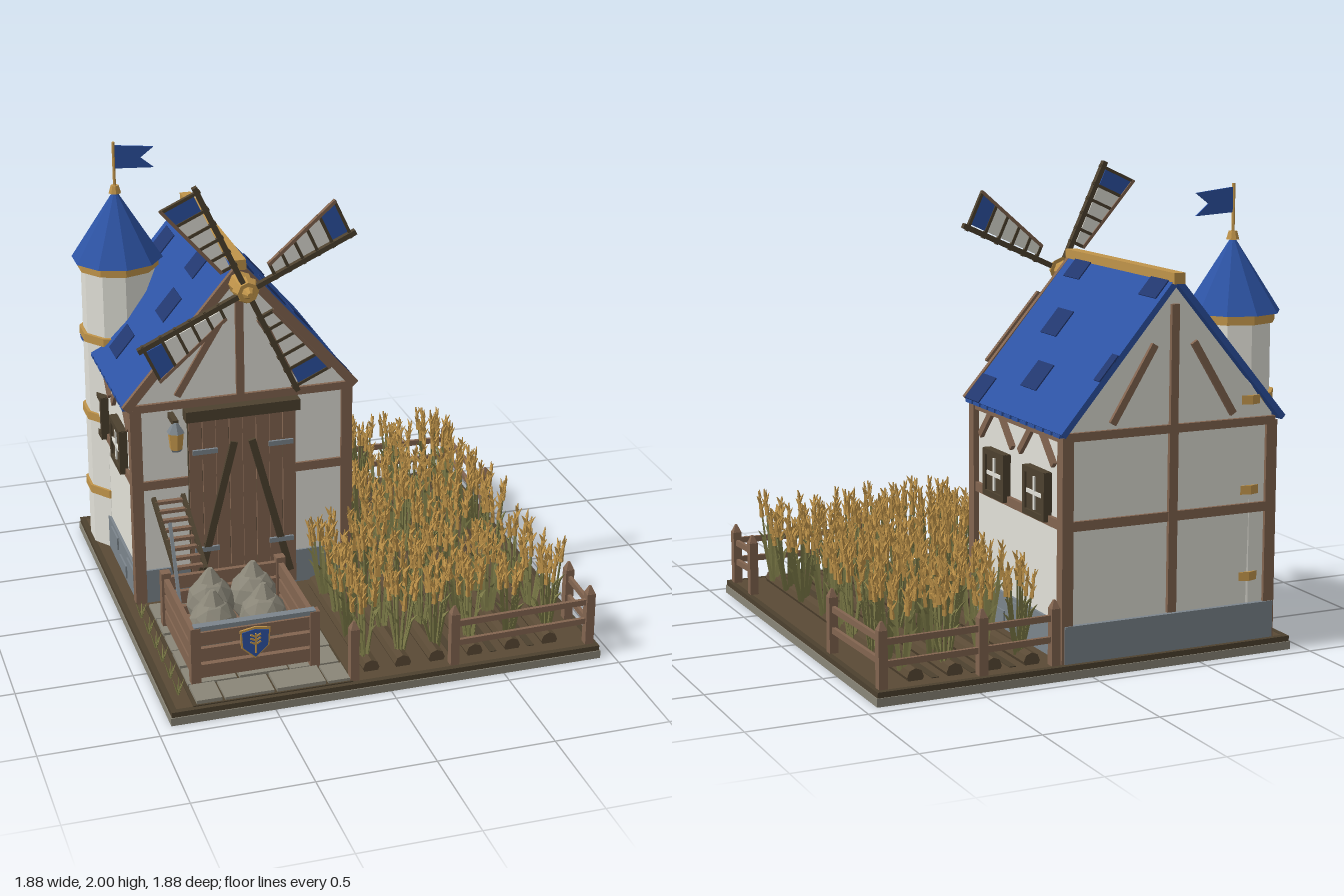
import * as THREE from 'three';
import { mergeGeometries } from 'three/addons/utils/BufferGeometryUtils.js';

const mat = (name, color) => Object.assign(new THREE.MeshStandardMaterial({ color }), { name });
const plaster = mat('plaster', 0xe2e1d8), timber = mat('timber', 0x836550), dark = mat('dark wood', 0x4d412f),
  soil = mat('soil', 0x5a4a35), blue = mat('roof blue', 0x2d53a4), navy = mat('deep blue', 0x22376f),
  gold = mat('gold', 0xc0944a), iron = mat('iron grey', 0x7c858c), stone = mat('stone', 0x8a8678),
  olive = mat('olive', 0x7c7a47);

const V = (p) => new THREE.Vector3(...p);
const flat = (g) => { const n = g.index ? g.toNonIndexed() : g; n.computeVertexNormals(); return n; };
let seed = 7;
const rnd = (a = 0, b = 1) => { seed = (seed * 16807) % 2147483647; return a + (b - a) * seed / 2147483647; };

function add(parent, name, geo, m, x = 0, y = 0, z = 0) {
  const mesh = new THREE.Mesh(geo, m);
  mesh.name = name;
  mesh.position.set(x, y, z);
  parent.add(mesh);
  return mesh;
}
const box = (parent, name, m, w, h, d, x, y, z) => add(parent, name, new THREE.BoxGeometry(w, h, d), m, x, y, z);
// Box running from a to b; w is its horizontal width, h its other thickness
function beam(parent, name, m, a, b, w, h) {
  const A = V(a), B = V(b), mesh = new THREE.Mesh(new THREE.BoxGeometry(w, h, A.distanceTo(B)), m);
  mesh.name = name;
  mesh.position.copy(A).lerp(B, 0.5);
  mesh.lookAt(B);
  parent.add(mesh);
  return mesh;
}
const drum = (parent, name, m, r1, r2, h, n, x, y, z) => add(parent, name, flat(new THREE.CylinderGeometry(r1, r2, h, n)), m, x, y, z);
const plate = (pts, depth) => new THREE.ExtrudeGeometry(new THREE.Shape(pts.map((p) => new THREE.Vector2(...p))), { depth, bevelEnabled: false });
function group(parent, name) { const g = new THREE.Group(); g.name = name; parent.add(g); return g; }

function buildGround(root) {
  const g = group(root, 'ground');
  box(g, 'baseSlab', stone, 1.88, 0.035, 1.88, 0, 0.0175, 0);
  box(g, 'baseSoil', soil, 1.85, 0.025, 1.85, 0, 0.045, 0);
  for (const s of [-1, 1]) {
    box(g, 'baseEdge', dark, 1.87, 0.024, 0.025, 0, 0.046, s * 0.923);
    box(g, 'baseEdge', dark, 0.025, 0.024, 1.87, s * 0.923, 0.046, 0);
  }
  // Paving with staggered joints
  box(g, 'pavingBed', dark, 0.68, 0.01, 0.88, -0.5, 0.058, 0.475);
  for (let r = 0; r < 6; r++) {
    let x = -0.83;
    for (let i = 0; x < -0.18; i++) {
      const w = Math.min(i === 0 && r % 2 ? 0.12 : 0.22, -0.165 - x);
      box(g, 'pavingStone', stone, w - 0.012, 0.02, 0.134, x + w / 2, 0.065 + (i + r) % 2 * 0.004, 0.11 + r * 0.146);
      x += w;
    }
  }
  // Ploughed ridges
  for (const [x, z0, z1] of [[-0.06, 0.05, 0.85], [0.08, 0.05, 0.85], [0.23, -0.85, 0.85], [0.4, -0.85, 0.85], [0.57, -0.85, 0.85], [0.74, -0.85, 0.85]])
    drum(g, 'furrowRidge', soil, 0.036, 0.036, z1 - z0, 8, x, 0.072, (z0 + z1) / 2).rotation.x = Math.PI / 2;
  for (const x of [0.315, 0.485, 0.655]) box(g, 'furrow', dark, 0.03, 0.006, 1.7, x, 0.058, 0);
}

function buildHouse(root) {
  const g = group(root, 'house'), mid = -0.38;
  add(g, 'walls', plate([[-0.85, 0.06], [0.1, 0.06], [0.1, 1.02], [mid, 1.575], [-0.85, 1.02]], 0.88), plaster, 0, 0, -0.895);
  box(g, 'foundation', iron, 0.975, 0.16, 0.91, -0.375, 0.135, -0.46);
  for (const s of [-1, 1]) for (const [z, y] of [[-0.12, 0.17], [-0.28, 0.11], [-0.45, 0.17]])
    box(g, 'foundationBlock', iron, 0.01, 0.06, 0.13, -0.375 + s * 0.49, y, z);
  for (const x of [-0.845, 0.1]) {
    for (const z of [-0.025, -0.885]) box(g, 'cornerPost', timber, 0.05, 0.94, 0.05, x, 0.52, z);
    box(g, 'sideBeam', timber, 0.035, 0.04, 0.88, x, 0.625, -0.46);
    box(g, 'topPlate', timber, 0.035, 0.04, 0.88, x, 0.985, -0.46);
  }
  // Front and back framing
  for (const z of [-0.012, -0.9]) {
    box(g, 'gableBeam', timber, 0.97, 0.035, 0.025, -0.373, 0.99, z);
    box(g, 'crossBeam', timber, 0.95, 0.04, 0.02, -0.375, 0.625, z);
    box(g, 'kingPost', timber, 0.035, 0.5, 0.025, mid, 1.25, z);
    for (const s of [-1, 1]) beam(g, 'gableBrace', timber, [mid + s * 0.28, 1.03, z], [mid + s * 0.09, 1.34, z], 0.022, 0.03);
  }
  for (const s of [-1, 1]) beam(g, 'rakeBoard', timber, [mid + s * 0.51, 1.0, 0.012], [mid, 1.59, 0.012], 0.022, 0.04);
  box(g, 'backPost', timber, 0.04, 0.78, 0.025, mid, 0.61, -0.9);
  // Windows with braces
  for (const [x, s] of [[0.1, 1], [-0.85, -1]]) for (const z of [-0.27, -0.66]) {
    const w = group(g, 'window');
    box(w, 'windowPane', dark, 0.03, 0.19, 0.18, x + s * 0.012, 0.72, z);
    for (const e of [-1, 1]) {
      box(w, 'windowFrame', dark, 0.045, 0.025, 0.2, x + s * 0.014, 0.72 + e * 0.09, z);
      box(w, 'windowFrame', dark, 0.045, 0.2, 0.025, x + s * 0.014, 0.72, z + e * 0.09);
      const c = z + 0.02;
      beam(g, 'wallBrace', timber, [x + s * 0.008, 0.86, c + e * 0.16], [x + s * 0.008, 0.975, c + e * 0.05], 0.02, 0.03);
    }
    box(w, 'windowBar', plaster, 0.008, 0.016, 0.14, x + s * 0.03, 0.72, z);
    box(w, 'windowBar', plaster, 0.008, 0.14, 0.016, x + s * 0.03, 0.72, z);
  }
  // Roof slopes with darker shingle patches, given as [z, height, height span]
  const patches = { 1: [[-0.14, 1.55, 0.07], [-0.29, 1.35, 0.1], [-0.44, 1.155, 0.1], [-0.065, 1.05, 0.1], [-0.82, 1.55, 0.07], [-0.9, 1.25, 0.1]],
    '-1': [[-0.8, 1.44, 0.1], [-0.33, 1.5, 0.1], [-0.29, 1.33, 0.1], [-0.45, 1.12, 0.1]] };
  for (const s of [-1, 1]) {
    beam(g, 'roofSlope', blue, [mid + s * 0.51, 1.0, -0.455], [mid, 1.6, -0.455], 0.94, 0.026);
    for (const [z, y, h] of patches[s]) {
      const at = (yy) => [mid + s * ((1.6 - yy) / 0.6 * 0.51 + 0.0108), yy + 0.0092, z];
      beam(g, 'roofPatch', navy, at(y - h / 2), at(y + h / 2), z < -0.88 ? 0.05 : 0.145, 0.008);
    }
    for (let i = 0; i < 12; i++) box(g, 'eaveShingle', blue, 0.02, 0.014, 0.06, mid + s * 0.51, 0.998, -0.03 - i * 0.077);
  }
  box(g, 'ridgeBeam', gold, 0.05, 0.045, 0.97, mid, 1.607, -0.455);
  // Barn door
  const d = group(g, 'door');
  for (let i = 0; i < 8; i++) box(d, 'doorPlank', timber, 0.057, 0.84, 0.03, -0.59 + i * 0.06, 0.5, 0.003 + i % 2 * 0.004);
  box(d, 'doorGap', dark, 0.48, 0.84, 0.02, -0.38, 0.5, 0);
  for (const s of [-1, 1]) {
    beam(d, 'doorBrace', dark, [-0.38 + s * 0.21, 0.14, 0.025], [-0.38 + s * 0.04, 0.8, 0.025], 0.015, 0.032);
    for (const y of [0.3, 0.77]) box(d, 'hinge', iron, 0.11, 0.022, 0.012, -0.38 + s * 0.17, y, 0.027);
  }
  box(d, 'lintel', dark, 0.51, 0.05, 0.06, -0.38, 0.945, 0.015);
  // Lantern on a bracket
  const l = group(g, 'lantern');
  box(l, 'lanternArm', dark, 0.025, 0.025, 0.11, -0.69, 0.945, 0.03);
  drum(l, 'lanternCap', iron, 0.01, 0.04, 0.045, 6, -0.69, 0.925, 0.08);
  drum(l, 'lanternGlass', gold, 0.036, 0.028, 0.078, 6, -0.69, 0.865, 0.08);
  drum(l, 'lanternBase', iron, 0.028, 0.022, 0.012, 6, -0.69, 0.822, 0.08);
}

function buildTower(root) {
  const g = group(root, 'tower'), x = -0.75, z = -0.725;
  drum(g, 'towerWall', plaster, 0.166, 0.174, 1.36, 10, x, 0.73, z);
  for (const y of [0.33, 0.7, 1.08, 1.41]) drum(g, 'towerBand', gold, 0.184, 0.184, 0.038, 10, x, y, z);
  drum(g, 'towerRoof', blue, 0.005, 0.205, 0.31, 10, x, 1.585, z);
  drum(g, 'roofCap', gold, 0.018, 0.028, 0.035, 8, x, 1.745, z);
  drum(g, 'flagPole', gold, 0.007, 0.007, 0.22, 6, x, 1.85, z);
  add(g, 'flag', plate([[0, 0.01], [0.18, 0], [0.12, 0.05], [0.18, 0.095], [0, 0.115]], 0.008), blue, x, 1.83, z - 0.004);
}

function buildMill(root) {
  const g = group(root, 'sails');
  g.position.set(-0.38, 1.525, 0.13);
  drum(g, 'shaft', gold, 0.04, 0.055, 0.13, 8, 0, 0, -0.06).rotation.x = Math.PI / 2;
  drum(g, 'hub', gold, 0.045, 0.06, 0.04, 8, 0, 0, 0).rotation.x = Math.PI / 2;
  drum(g, 'hubTip', gold, 0.012, 0.03, 0.04, 8, 0, 0, 0.035).rotation.x = Math.PI / 2;
  const top = (r) => 0.06 + (r - 0.13) * 0.29;
  const panel = (a, b) => plate([[a, 0.018], [b, 0.018], [b, top(b)], [a, top(a)]], 0.008);
  for (let i = 0; i < 4; i++) {
    const b = group(g, 'sail');
    b.rotation.z = 0.43 + i * Math.PI / 2;
    beam(b, 'spar', dark, [0, 0, 0], [0.52, 0, 0], 0.026, 0.022);
    add(b, 'canvas', panel(0.14, 0.41), plaster, 0, 0, -0.004);
    add(b, 'canvasTip', panel(0.41, 0.495), blue, 0, 0, -0.004);
    beam(b, 'sailEdge', timber, [0.13, top(0.13), 0], [0.5, top(0.5), 0], 0.02, 0.014);
    for (const r of [0.135, 0.2, 0.27, 0.34, 0.41, 0.495]) beam(b, 'sailRung', dark, [r, -0.015, 0], [r, top(r) + 0.006, 0], 0.013, 0.018);
  }
}

function buildCrate(root) {
  const g = group(root, 'crate'), x0 = -0.79, x1 = -0.28, z0 = 0.24, z1 = 0.75, cx = (x0 + x1) / 2, cz = (z0 + z1) / 2;
  box(g, 'crateFloor', timber, 0.5, 0.03, 0.5, cx, 0.1, cz);
  for (const y of [0.125, 0.2, 0.275]) {
    for (const z of [z0, z1]) box(g, 'crateSlat', timber, 0.51, 0.06, 0.022, cx, y, z);
    for (const x of [x0, x1]) box(g, 'crateSlat', timber, 0.022, 0.06, 0.51, x, y, cz);
  }
  for (const x of [x0, x1]) for (const z of [z0, z1]) box(g, 'cratePost', timber, 0.042, 0.26, 0.042, x, 0.2, z);
  box(g, 'crateRim', iron, 0.52, 0.02, 0.035, cx, 0.325, z1);
  // Sacks of grain
  [[-0.63, 0.39], [-0.44, 0.38], [-0.67, 0.585], [-0.45, 0.585]].forEach(([x, z], i) => {
    const s = add(g, 'sack', flat(new THREE.IcosahedronGeometry(0.105, 1)), stone, x, 0.235, z);
    s.scale.y = 1.15;
    s.rotation.y = i;
    drum(g, 'sackNeck', stone, 0.012, 0.052, 0.055, 6, x, 0.37, z);
  });
  // Shield with a sprig
  const shield = (k) => [[-0.065, 0.06], [0, 0.072], [0.065, 0.06], [0.06, -0.02], [0, -0.075], [-0.06, -0.02]].map(([a, b]) => [a * k, b * k]).reverse();
  add(g, 'shieldBorder', plate(shield(1), 0.008), gold, -0.54, 0.235, 0.772);
  add(g, 'shieldFace', plate(shield(0.88), 0.008), blue, -0.54, 0.235, 0.776);
  beam(g, 'sprigStem', gold, [-0.54, 0.19, 0.786], [-0.54, 0.28, 0.786], 0.007, 0.006);
  for (const s of [-1, 1]) for (const y of [0.23, 0.247, 0.264]) beam(g, 'sprigGrain', gold, [-0.54, y, 0.786], [-0.54 + s * 0.022, y + 0.012, 0.786], 0.005, 0.007);
  // Ladder and leaning pole
  const l = group(root, 'ladder');
  const at = (x, t) => [x + 0.02 * (1 - t), 0.37 + 0.21 * t, 0.34 - 0.31 * t];
  for (const x of [-0.785, -0.655]) beam(l, 'ladderRail', dark, at(x, 0), at(x, 1), 0.018, 0.022);
  for (let i = 0; i < 8; i++) beam(l, 'ladderRung', timber, at(-0.785, 0.06 + i * 0.125), at(-0.655, 0.06 + i * 0.125), 0.022, 0.014);
  beam(root, 'pole', iron, [-0.77, 0.14, 0.47], [-0.77, 0.575, 0.27], 0.014, 0.014);
}

function buildFence(root) {
  const g = group(root, 'fence'), F = 0.89;
  for (const [x, z] of [[-0.15, F], [0.29, F], [0.9, F], [0.9, 0.66], [0.9, -0.35], [0.9, -F], [0.47, -F], [0.15, -F]]) {
    box(g, 'fencePost', timber, 0.038, 0.24, 0.038, x, 0.175, z);
    drum(g, 'fencePostTip', timber, 0.006, 0.026, 0.035, 4, x, 0.312, z).rotation.y = Math.PI / 4;
  }
  for (const y of [0.155, 0.245])
    for (const [a, b, c, d] of [[0.29, F, 0.9, F], [0.9, F, 0.9, 0.66], [0.9, -0.35, 0.9, -F], [0.9, -F, 0.15, -F]])
      beam(g, 'fenceRail', timber, [a, y, b], [c, y + 0.01, d], 0.016, 0.026);
}

// Thin cone or rod laid from a to b
function spike(r0, r1, n, a, b) {
  const A = V(a), d = V(b).sub(A), g = new THREE.CylinderGeometry(r1, r0, 1, n, 1, true).translate(0, 0.5, 0).scale(1, d.length(), 1);
  g.applyQuaternion(new THREE.Quaternion().setFromUnitVectors(new THREE.Vector3(0, 1, 0), d.normalize()));
  return flat(g.translate(...a));
}
function wheatClump() {
  const green = [], ears = [];
  for (let i = 0; i < 8; i++) {
    const a = i * 2.4 + rnd(0, 0.5), c = Math.cos(a), s = Math.sin(a), p = (r, y) => [c * r, y, s * r];
    const out = rnd(0.02, 0.062), h = rnd(0.24, 0.33), up = h + 0.1;
    green.push(spike(0.006, 0.005, 3, p(0.018, 0), p(out, h)));
    // Arching leaf
    const bend = rnd(0.13, 0.22), tip = rnd(0.05, 0.08);
    green.push(spike(0.009, 0.008, 3, p(0.012, 0), p(tip - 0.025, bend)), spike(0.008, 0.001, 3, p(tip - 0.025, bend), p(tip, bend + 0.03)));
    ears.push(spike(0.011, 0.003, 4, p(out, h - 0.02), p(out + 0.015, up)));
    for (let k = 0; k < 4; k++) {
      const y = h + k * 0.022, o = out + k * 0.003, t = k * 2.2 + i, e = p(o, y);
      ears.push(spike(0.009, 0.001, 4, e, [e[0] + Math.cos(t) * 0.022, y + 0.035, e[2] + Math.sin(t) * 0.022]));
    }
  }
  return [mergeGeometries(green), mergeGeometries(ears)];
}
function buildWheat(root) {
  const g = group(root, 'wheatField'), kinds = [wheatClump(), wheatClump(), wheatClump()];
  const clump = (x, z, i) => {
    const c = group(g, 'wheat'), [stalks, ears] = kinds[i % 3];
    c.position.set(x + rnd(-0.01, 0.01), 0.08, z + rnd(-0.015, 0.015));
    c.rotation.y = rnd(0, 6.28);
    c.scale.y = rnd(0.92, 1.03);
    add(c, 'stalks', stalks, olive);
    add(c, 'ears', ears, gold);
  };
  [0.245, 0.41, 0.575, 0.765].forEach((x, j) => [-0.77, -0.63, -0.46, -0.26, -0.07, 0.13, 0.37, 0.58, 0.77]
    .forEach((z, i) => { if (i !== 1 || j > 1) clump(x, z, i + j); }));
  for (const x of [-0.07, 0.085]) [0.2, 0.37, 0.58, 0.77].forEach((z, i) => clump(x, z, i));
  // Grass tufts by the paving
  for (const z of [0.12, 0.27, 0.4, 0.52, 0.66, 0.8]) {
    const blades = [0, 1, 2, 3, 4].map((k) => spike(0.006, 0.001, 3, [0, 0, 0], [Math.cos(k * 1.26) * 0.025, 0.07, Math.sin(k * 1.26) * 0.025]));
    add(g, 'grassTuft', mergeGeometries(blades), olive, -0.875, 0.057, z);
  }
}

export function createModel() {
  const root = new THREE.Group();
  root.name = 'windmillFarm';
  for (const build of [buildGround, buildHouse, buildTower, buildMill, buildCrate, buildFence, buildWheat]) build(root);
  return root;
}
